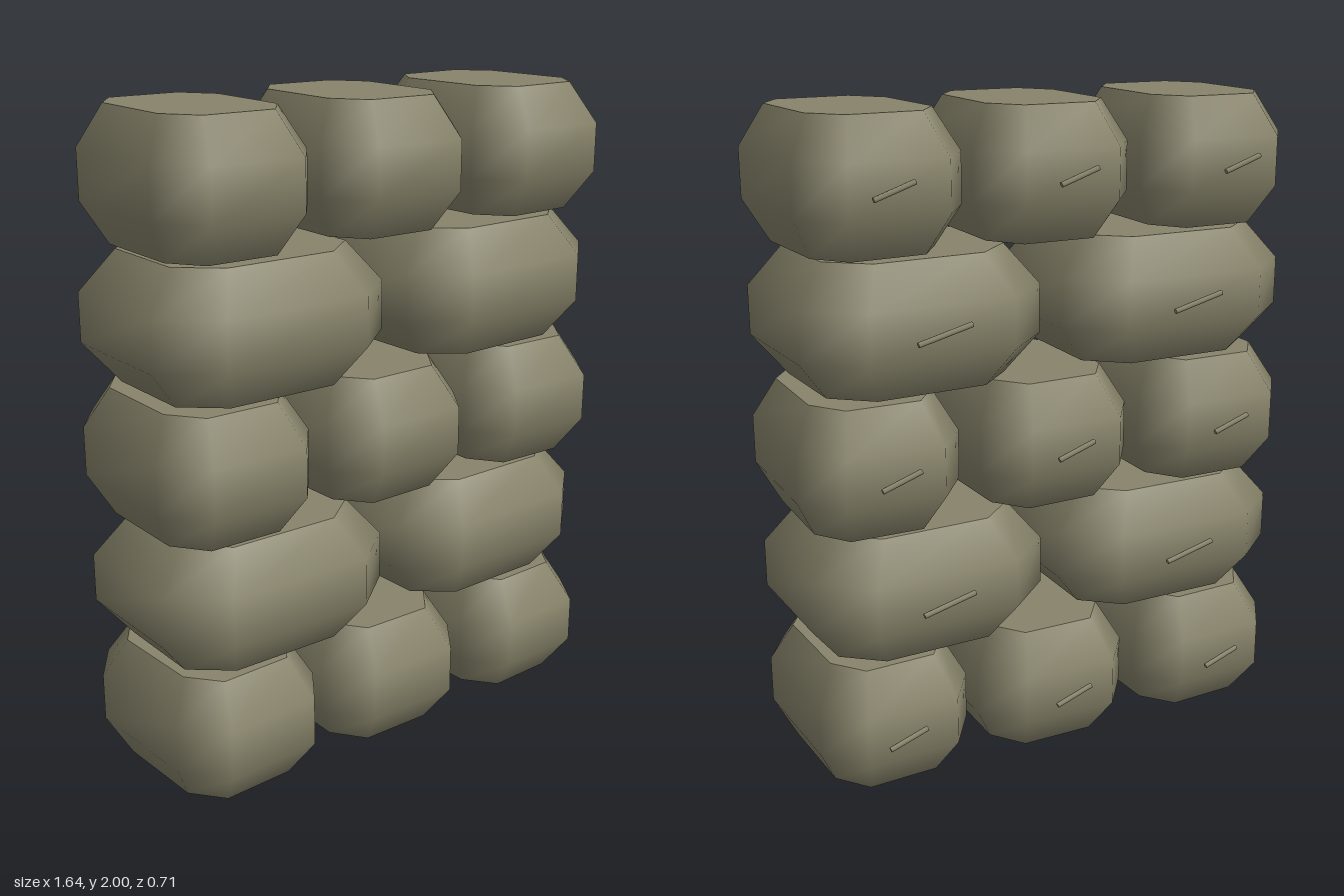
import * as THREE from 'three';

const HEIGHT = 0.39, STEP = 0.4025;

// Eight-sided bag: smooth bulging sides between flat, creased top and bottom faces
function bagGeometry(hx, hz) {
  const outline = [[1, -0.6], [1, 0.6], [0.6, 1], [-0.6, 1], [-1, 0.6], [-1, -0.6], [-0.6, -1], [0.6, -1]];
  const levels = [[0, 0.75], [0.31, 1], [0.69, 1], [1, 0.75]];
  const pos = [], index = [];
  const ring = ([t, s]) => outline.forEach(([x, z]) => pos.push(x * hx * s, t * HEIGHT, z * hz * s));
  levels.forEach(ring);
  for (let i = 0; i < 3; i++) {
    for (let j = 0; j < 8; j++) {
      const a = i * 8 + j, b = i * 8 + (j + 1) % 8, c = a + 8, d = b + 8;
      index.push(a, c, b, b, c, d);
    }
  }
  // Caps use their own vertices so that their edges stay sharp
  ring(levels[0]);
  ring(levels[3]);
  for (let j = 1; j < 7; j++) {
    index.push(32, 32 + j, 33 + j);
    index.push(40, 41 + j, 40 + j);
  }
  const geometry = new THREE.BufferGeometry();
  geometry.setAttribute('position', new THREE.Float32BufferAttribute(pos, 3));
  geometry.setIndex(index);
  geometry.computeVertexNormals();
  return geometry;
}

export function createModel() {
  const wall = new THREE.Group();
  wall.name = 'sandbagWall';
  const canvas = new THREE.MeshStandardMaterial({ color: 0x87836a });
  canvas.name = 'olive canvas';

  // Each course, bottom to top: back z, front z, then bags as [left x, right x, yaw]
  const courses = [
    { z: [-0.325, 0.355], bags: [[-0.81, -0.295, 0.03], [-0.26, 0.26, -0.02], [0.3, 0.8, 0.03]] },
    { z: [-0.315, 0.345], bags: [[-0.82, -0.03, -0.015], [0.035, 0.8, 0.015]] },
    { z: [-0.33, 0.355], bags: [[-0.825, -0.305, -0.02], [-0.255, 0.26, 0.02], [0.31, 0.82, -0.03]] },
    { z: [-0.32, 0.355], bags: [[-0.82, -0.035, -0.02], [0.04, 0.805, 0.02]] },
    { z: [-0.33, 0.35], bags: [[-0.8, -0.295, -0.03], [-0.25, 0.26, -0.03], [0.295, 0.81, 0.03]] },
  ];

  courses.forEach(({ z, bags }, row) => {
    const course = new THREE.Group();
    course.name = `course${row + 1}`;
    course.position.y = row * STEP;
    wall.add(course);

    bags.forEach(([x0, x1, yaw], i) => {
      const sway = 0.6 * Math.abs(yaw);
      const hx = (x1 - x0) / 2, hz = (z[1] - z[0]) / 2;
      const bag = new THREE.Mesh(bagGeometry(hx - sway * hz, hz - sway * hx), canvas);
      bag.name = `sandbag${i + 1}`;
      bag.position.set((x0 + x1) / 2, 0, (z[0] + z[1]) / 2);
      bag.rotation.y = yaw;
      course.add(bag);

      // Slanted tie cord behind the bag
      const long = bags.length === 2;
      const span = long ? 0.165 : 0.12;
      const tie = new THREE.Mesh(new THREE.CylinderGeometry(0.008, 0.008, Math.hypot(span, 0.04), 6), canvas);
      tie.name = `tieCord${i + 1}`;
      const x = long ? [-0.405, 0.43][i] : [-0.545, 0.01, 0.57][i];
      tie.position.set(x, HEIGHT / 2 + 0.005, -0.352);
      tie.rotation.z = Math.atan2(span, 0.04);
      course.add(tie);
    });
  });
  return wall;
}
